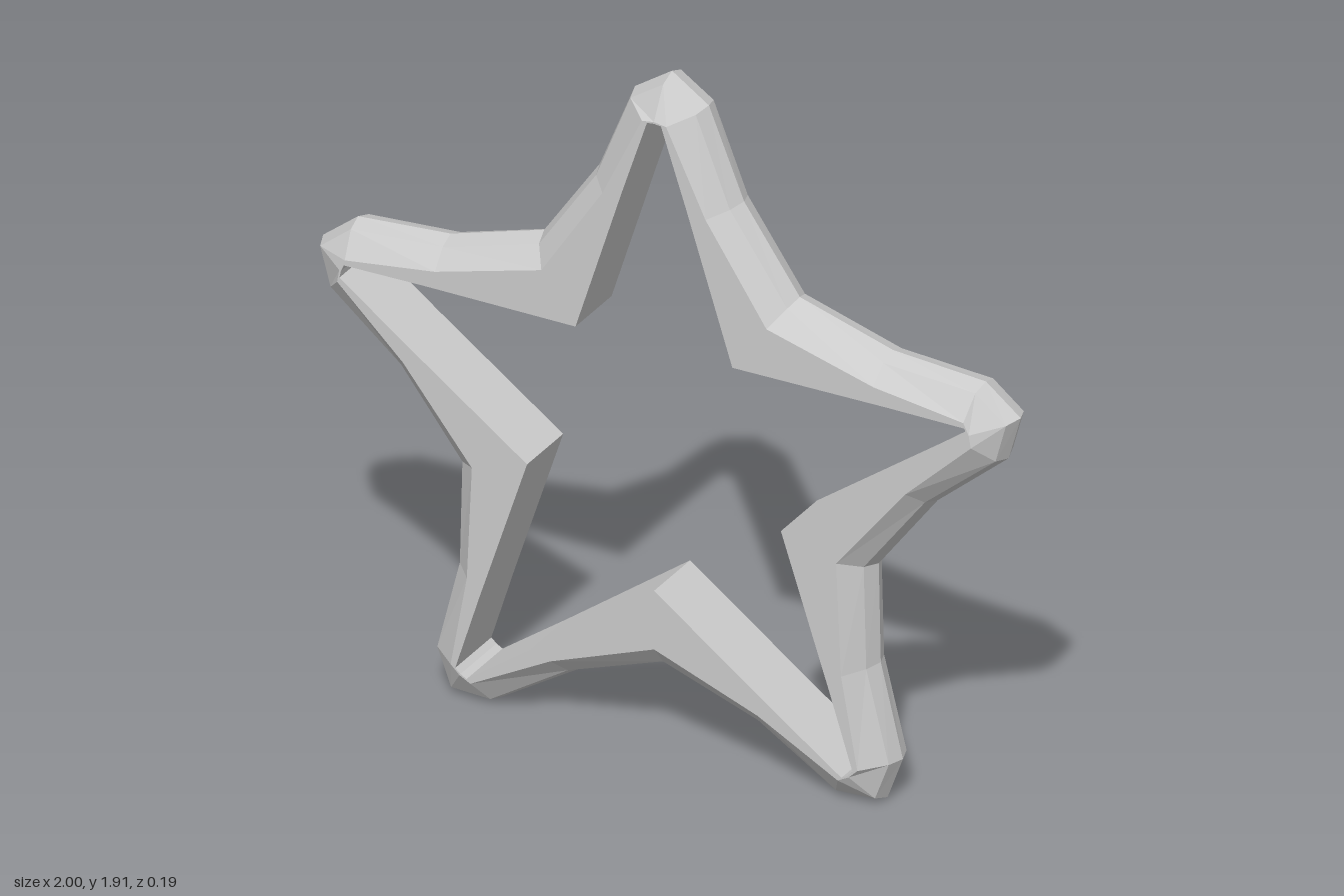
import * as THREE from 'three';

const ARMS = 5;
const CENTRE_Y = 0.862;

// One arm pointing up, from its tip clockwise to the valley.
// Each station: outer ridge, shoulder edge, face edge, hole edge as [x, y].
const TIP = [[0, 1.053], [0, 1.035], [0, 0.95], [0, 0.945]];
const SHOULDER = [[0.106, 0.982], [0.094, 0.973], [0.035, 0.945], [0.02, 0.943]];
const MIDDLE = [[0.207, 0.735], [0.192, 0.728], [0.148, 0.71], [0.091, 0.73]];
const VALLEY = [[0.367, 0.505], [0.356, 0.49], [0.323, 0.445], [0.225, 0.31]];
const DEPTHS = [0, 0.046, 0.093, 0.093];

const mirror = (station) => station.map(([x, y]) => [-x, y]);

function starRing() {
  // Six stations per arm, going clockwise
  const arm = [mirror(MIDDLE), mirror(SHOULDER), TIP, SHOULDER, MIDDLE, VALLEY];
  const stations = [];
  for (let a = 0; a < ARMS; a++) {
    const t = (a * 2 * Math.PI) / ARMS;
    const c = Math.cos(t), s = Math.sin(t);
    for (const st of arm) stations.push(st.map(([x, y]) => [x * c + y * s, y * c - x * s]));
  }

  // Closed section: ridge, front edges, hole wall, back edges
  const section = [[0, 1], [1, 1], [2, 1], [3, 1], [3, -1], [2, -1], [1, -1]];
  const n = section.length;
  const positions = [];
  for (const st of stations) {
    for (const [k, side] of section) positions.push(st[k][0], st[k][1] + CENTRE_Y, DEPTHS[k] * side);
  }
  const index = [];
  for (let i = 0; i < stations.length; i++) {
    const next = (i + 1) % stations.length;
    for (let j = 0; j < n; j++) {
      const k = (j + 1) % n;
      const a = i * n + j, b = i * n + k, c = next * n + k, d = next * n + j;
      index.push(a, b, c, a, c, d);
    }
  }
  const geometry = new THREE.BufferGeometry();
  geometry.setAttribute('position', new THREE.Float32BufferAttribute(positions, 3));
  geometry.setIndex(index);
  const flat = geometry.toNonIndexed();
  flat.computeVertexNormals();
  return flat;
}

export function createModel() {
  const group = new THREE.Group();
  group.name = 'star';
  const material = new THREE.MeshStandardMaterial({ color: 0xcccccc, flatShading: true });
  const ring = new THREE.Mesh(starRing(), material);
  ring.name = 'starFrame';
  group.add(ring);
  return group;
}
